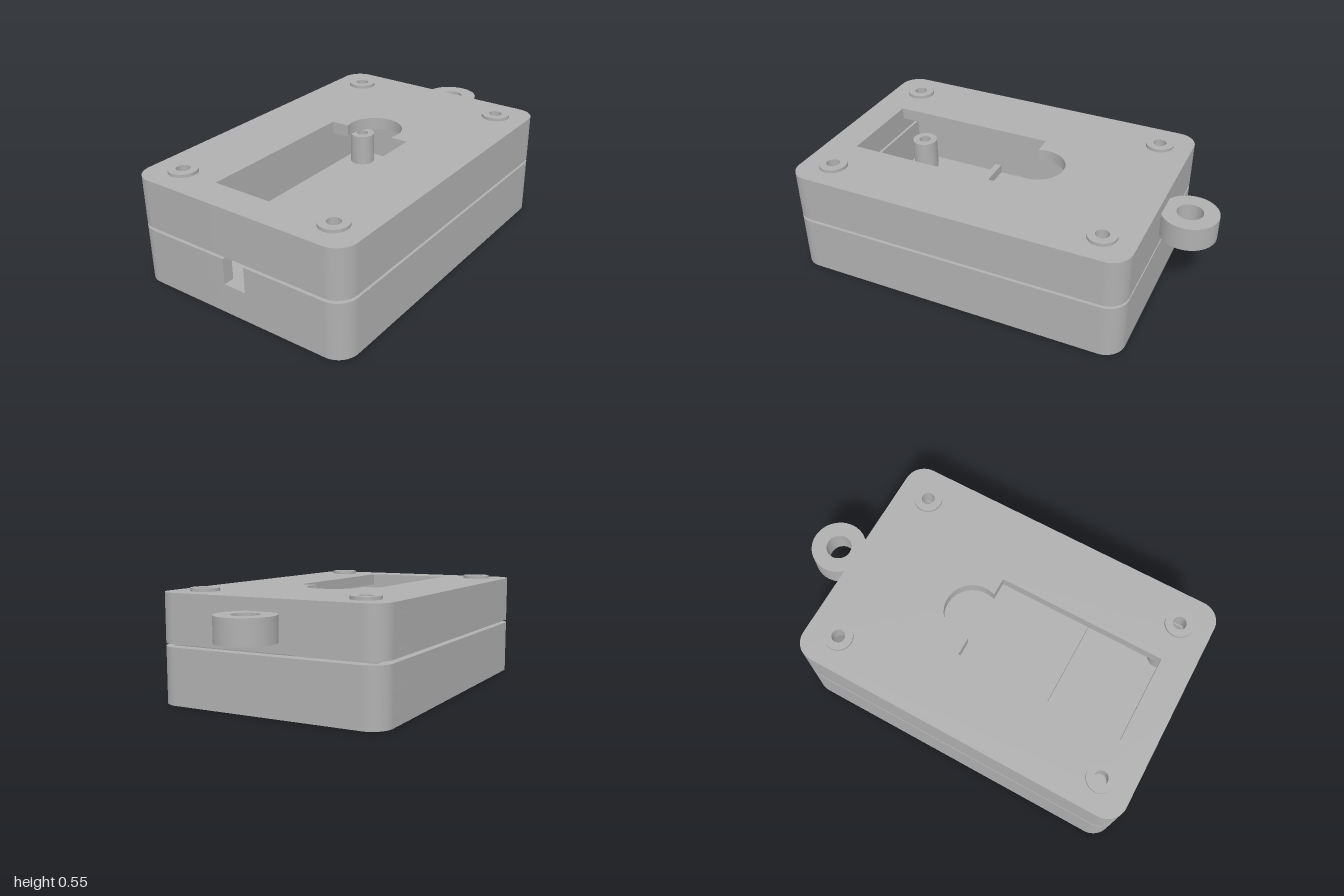
import * as THREE from 'three';
import { toCreasedNormals } from 'three/addons/utils/BufferGeometryUtils.js';

// Main dimensions
const X0 = -1, X1 = 0.74, Z = 0.592, R = 0.1, WALL = 0.055;
const NOTCH = 0.06;
const IX0 = X0 + WALL, IX1 = X1 - WALL, IZ = Z - WALL;
const SCREWS = [[-0.84, -0.43], [-0.84, 0.43], [0.575, -0.43], [0.575, 0.43]];

export function createModel() {
  const model = new THREE.Group();
  model.name = 'enclosure';
  const grey = new THREE.MeshStandardMaterial({ color: 0xb0b0b0 });
  grey.name = 'grey plastic';

  // Extrude a plan shape (x, -z) upward from y0 to y1
  function slab(name, shape, y0, y1, parent) {
    let g = new THREE.ExtrudeGeometry(shape, { depth: y1 - y0, bevelEnabled: false, curveSegments: 24 });
    g.rotateX(-Math.PI / 2);
    g.translate(0, y0, 0);
    g = toCreasedNormals(g, 0.6);
    const mesh = new THREE.Mesh(g, grey);
    mesh.name = name;
    parent.add(mesh);
    return mesh;
  }

  // Rounded footprint, drawn from the left edge and back to it
  function outline(gap = 0) {
    const s = new THREE.Shape();
    s.moveTo(X0, -gap);
    s.lineTo(X0, -Z + R);
    s.absarc(X0 + R, -Z + R, R, Math.PI, Math.PI * 1.5, false);
    s.absarc(X1 - R, -Z + R, R, Math.PI * 1.5, Math.PI * 2, false);
    s.absarc(X1 - R, Z - R, R, 0, Math.PI / 2, false);
    s.absarc(X0 + R, Z - R, R, Math.PI / 2, Math.PI, false);
    s.lineTo(X0, gap);
    return s;
  }

  function wallRing() {
    const s = outline();
    const h = new THREE.Path();
    h.moveTo(IX0, -IZ).lineTo(IX0, IZ).lineTo(IX1, IZ).lineTo(IX1, -IZ).closePath();
    s.holes.push(h);
    return s;
  }

  // Wall broken by the cable notch
  function notchedWall() {
    const s = outline(NOTCH);
    s.lineTo(IX0, NOTCH).lineTo(IX0, IZ).lineTo(IX1, IZ);
    s.lineTo(IX1, -IZ).lineTo(IX0, -IZ).lineTo(IX0, -NOTCH).closePath();
    return s;
  }

  function circleHole(x, y, r) {
    return new THREE.Path().absarc(x, y, r, 0, Math.PI * 2, true);
  }

  function tube(x, z, outer, inner) {
    const s = new THREE.Shape().absarc(x, -z, outer, 0, Math.PI * 2, false);
    s.holes.push(circleHole(x, -z, inner));
    return s;
  }

  // Bottom tray
  const tray = new THREE.Group();
  tray.name = 'tray';
  model.add(tray);
  slab('trayFloor', outline(), 0, 0.055, tray);
  slab('trayLowerWall', wallRing(), 0.055, 0.15, tray);
  slab('trayNotchedWall', notchedWall(), 0.15, 0.28, tray);
  for (const [x, z] of SCREWS) slab('screwPost', tube(x, z, 0.07, 0.033), 0.055, 0.233, tray);

  // Low divider across the tray floor
  const divider = new THREE.Mesh(new THREE.BoxGeometry(0.038, 0.05, IZ * 2), grey);
  divider.name = 'divider';
  divider.position.set(-0.41, 0.08, 0);
  tray.add(divider);

  // Lid with a keyhole-like window and screw holes
  const lid = new THREE.Group();
  lid.name = 'lid';
  model.add(lid);
  slab('lidWall', wallRing(), 0.295, 0.475, lid);
  const top = outline();
  const cx = 0.075, cr = 0.14, ex = 0.025;
  const a = Math.acos((ex - cx) / cr), ey = cr * Math.sin(a);
  const win = new THREE.Path();
  win.moveTo(-0.84, -0.226).lineTo(-0.84, 0.226).lineTo(ex, 0.226).lineTo(ex, ey);
  win.absarc(cx, 0, cr, a, -a, true);
  win.lineTo(ex, -0.226).closePath();
  top.holes.push(win);
  for (const [x, z] of SCREWS) top.holes.push(circleHole(x, -z, 0.033));
  slab('lidTop', top, 0.475, 0.537, lid);
  for (const [x, z] of SCREWS) slab('screwCollar', tube(x, z, 0.071, 0.033), 0.537, 0.553, lid);

  // Hanging ring on the side of the lid
  slab('hangingRing', tube(0.86, 0, 0.14, 0.064), 0.355, 0.476, lid);

  return model;
}
